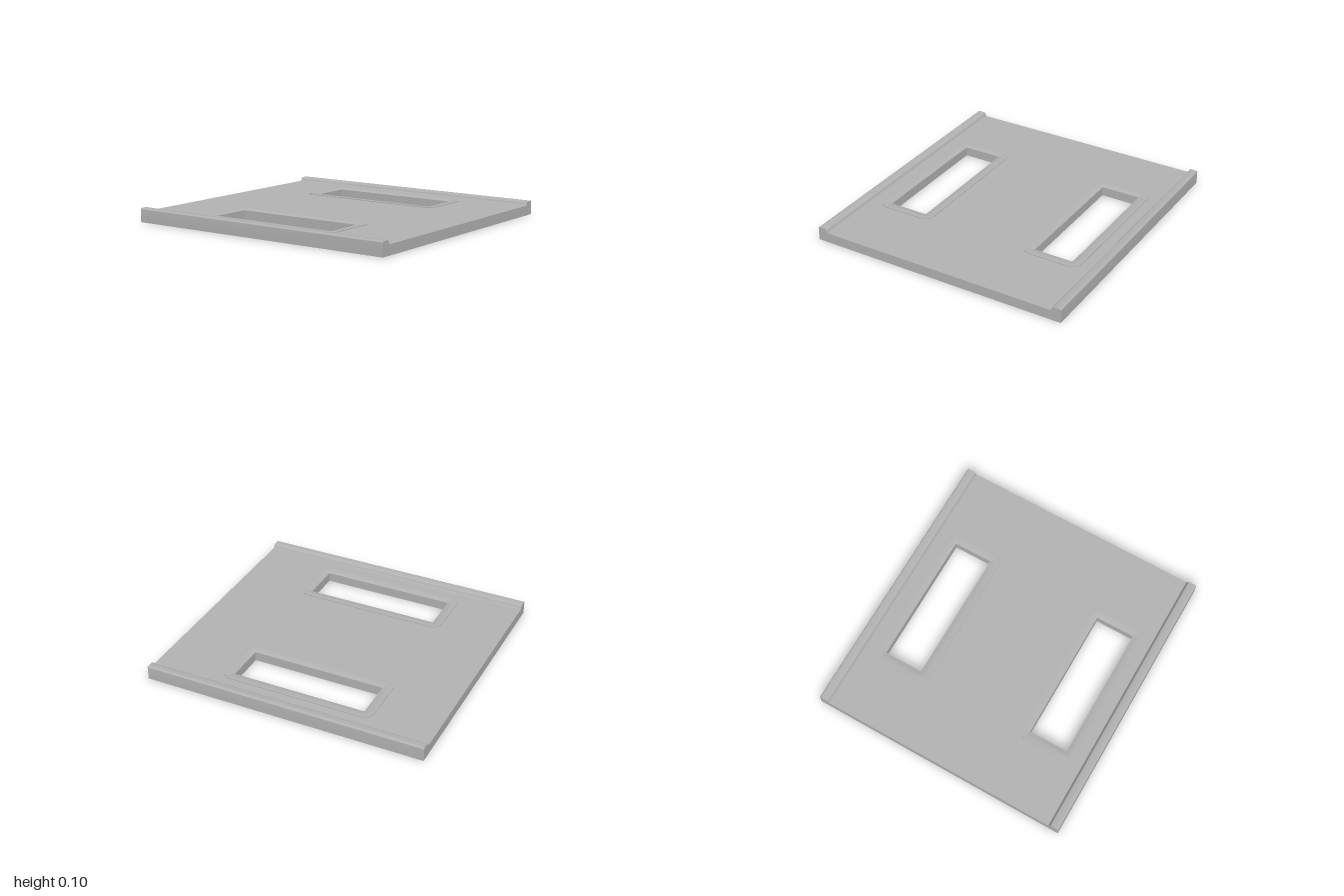
import * as THREE from 'three';
import { toCreasedNormals } from 'three/addons/utils/BufferGeometryUtils.js';

const HALF_W = 0.928, RAIL_IN = 0.86, DECK = 0.07, BAND = 0.07;
const HOLE_W = 0.28, HOLE_L = 0.95, HOLE_Z = -0.02;
const HOLE_X = [-0.575, 0.569];
const ARC = 8;

// Rectangular opening outline grown by d, with corner arcs of radius d
function outline(cx, cz, d) {
  const pts = [];
  const corners = [[1, 1], [-1, 1], [-1, -1], [1, -1]];
  corners.forEach(([sx, sz], k) => {
    for (let i = 0; i <= ARC; i++) {
      const a = (k + i / ARC) * Math.PI / 2;
      pts.push(new THREE.Vector2(
        cx + sx * HOLE_W / 2 + d * Math.cos(a),
        cz + sz * HOLE_L / 2 + d * Math.sin(a)));
    }
  });
  return pts;
}

// Sweeps a closed [offset, height] profile around an opening
function frameGeometry(cx, cz, profile) {
  const pos = [], index = [];
  const n = 4 * (ARC + 1), m = profile.length;
  for (const [d, y] of profile) {
    for (const p of outline(cx, cz, d)) pos.push(p.x, y, p.y);
  }
  for (let j = 0; j < m; j++) {
    const j2 = (j + 1) % m;
    for (let i = 0; i < n; i++) {
      const i2 = (i + 1) % n;
      const a = j * n + i, b = j * n + i2, c = j2 * n + i2, d = j2 * n + i;
      index.push(a, d, b, b, d, c);
    }
  }
  const g = new THREE.BufferGeometry();
  g.setAttribute('position', new THREE.Float32BufferAttribute(pos, 3));
  g.setIndex(index);
  return toCreasedNormals(g, 0.6);
}

export function createModel() {
  const group = new THREE.Group();
  const grey = new THREE.MeshStandardMaterial({ color: 0xb2b2b2 });
  grey.name = 'plain grey';
  const add = (name, geometry) => {
    const mesh = new THREE.Mesh(geometry, grey);
    mesh.name = name;
    group.add(mesh);
    return mesh;
  };

  // Flat deck with two openings (shape y becomes -z)
  const deck = new THREE.Shape();
  deck.moveTo(-RAIL_IN, -1).lineTo(RAIL_IN, -1).lineTo(RAIL_IN, 1).lineTo(-RAIL_IN, 1).closePath();
  for (const x of HOLE_X) deck.holes.push(new THREE.Path(outline(x, -HOLE_Z, BAND)));
  const deckGeo = new THREE.ExtrudeGeometry(deck, { depth: DECK, bevelEnabled: false });
  deckGeo.rotateX(-Math.PI / 2);
  add('deck', deckGeo);

  // Moulded lip around each opening, including its inner walls
  const lip = [[BAND, 0], [BAND, 0.075], [0.055, 0.0755], [0.035, 0.0745], [0.015, 0.071], [0, 0.066], [0, 0]];
  HOLE_X.forEach((x, i) => {
    add(i ? 'leftOpeningFrame' : 'rightOpeningFrame', frameGeometry(x, HOLE_Z, lip));
  });

  // Raised side rails with rounded tops and a small fillet to the deck
  for (const s of [-1, 1]) {
    const rail = new THREE.Shape();
    rail.moveTo(s * RAIL_IN, 0);
    rail.lineTo(s * HALF_W, 0);
    rail.lineTo(s * HALF_W, 0.088);
    rail.quadraticCurveTo(s * HALF_W, 0.098, s * 0.916, 0.098);
    rail.lineTo(s * 0.878, 0.098);
    rail.quadraticCurveTo(s * 0.87, 0.098, s * 0.864, 0.088);
    rail.lineTo(s * RAIL_IN, 0.077);
    rail.lineTo(s * 0.853, DECK);
    rail.lineTo(s * RAIL_IN, DECK);
    rail.closePath();
    const g = new THREE.ExtrudeGeometry(rail, { depth: 2, bevelEnabled: false, curveSegments: 5 });
    g.translate(0, 0, -1);
    add(s > 0 ? 'leftRail' : 'rightRail', toCreasedNormals(g, 0.6));
  }
  return group;
}
